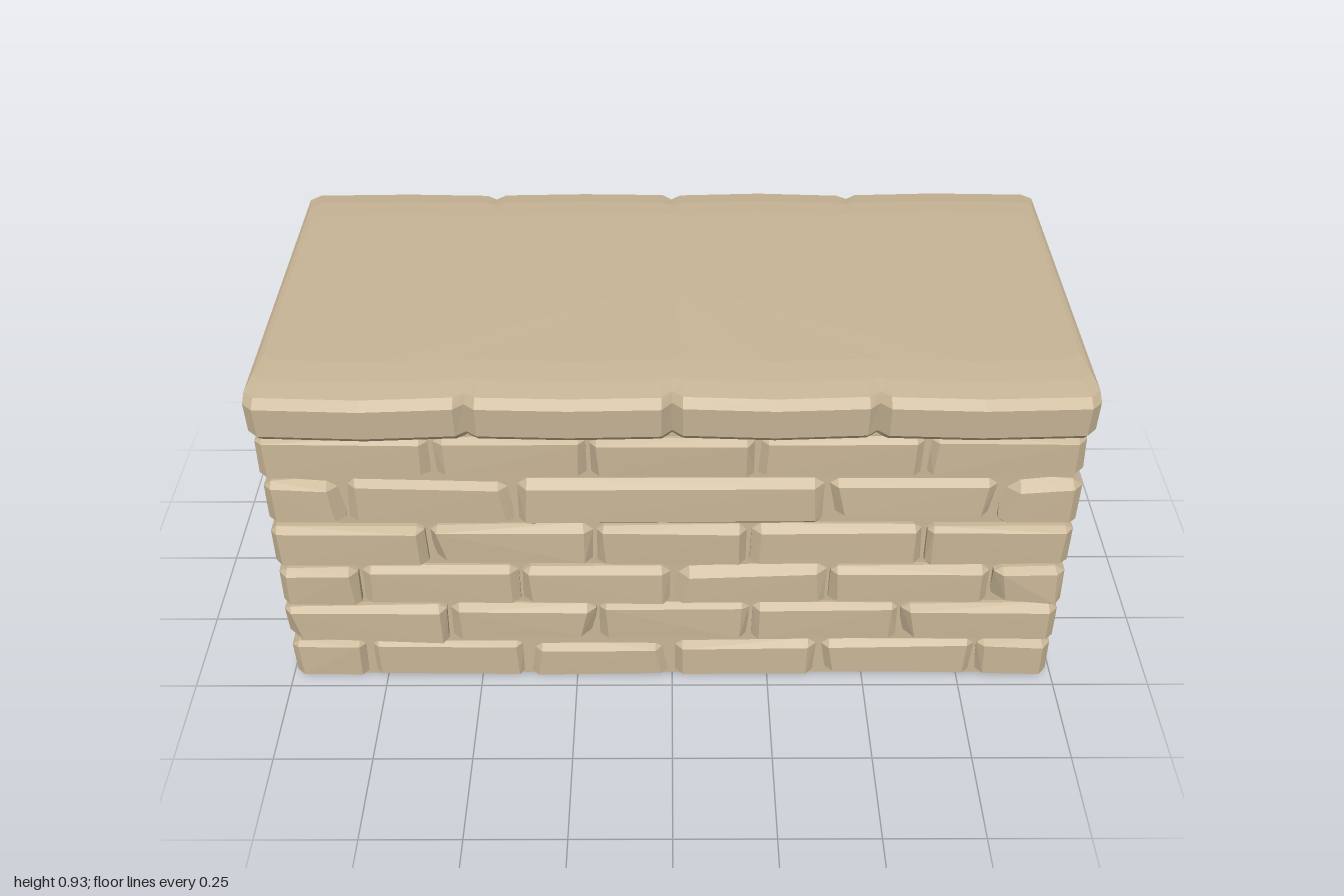
import * as THREE from 'three';
import { ConvexGeometry } from 'three/addons/geometries/ConvexGeometry.js';

const stone = new THREE.MeshStandardMaterial({ color: 0xc8b596 });
stone.name = 'sandstone';

// Small seeded random: rnd(a) lies in -a..a
let seed = 7;
const rnd = (a) => {
  seed = (seed * 16807) % 2147483647;
  return (seed / 2147483647 * 2 - 1) * a;
};

function add(group, geometry, name) {
  const mesh = new THREE.Mesh(geometry, stone);
  mesh.name = name;
  group.add(mesh);
}

// Rough-hewn brick: a box with chamfered, slightly uneven corners
function brick(group, name, x0, x1, y0, y1, z0, z1) {
  const lo = [x0, y0, z0], hi = [x1, y1, z1], points = [];
  for (let corner = 0; corner < 8; corner++) {
    const c = 0.016 + (rnd(1) > 0.75 ? 0.022 : 0.004) + rnd(0.004);
    for (let face = 0; face < 3; face++) {
      const p = [0, 1, 2].map((a) => {
        const inset = a === face ? 0 : c * (a === 1 ? 0.7 : 1);
        return ((corner >> a) & 1 ? hi[a] - inset : lo[a] + inset) + rnd(0.0025);
      });
      points.push(new THREE.Vector3(p[0], Math.max(0, p[1]), p[2]));
    }
  }
  add(group, new ConvexGeometry(points), name);
}

// Chipped stone on the +x end, from a convex outline of [z, y] corners
function chippedStone(group, outline, xOut) {
  const cz = outline.reduce((s, p) => s + p[0], 0) / outline.length;
  const cy = outline.reduce((s, p) => s + p[1], 0) / outline.length;
  const points = [];
  for (const [z, y] of outline) {
    points.push(new THREE.Vector3(0.9, y, z), new THREE.Vector3(xOut - 0.012, y, z));
    points.push(new THREE.Vector3(xOut, y + (cy - y) * 0.1, z + (cz - z) * 0.06));
  }
  add(group, new ConvexGeometry(points), 'chippedStone');
}

// Horizontal slab with notched ends and two openings underneath
function footSlab(group, name, y0, y1, radius, sides) {
  const X = 0.965, Z = 0.455, N = 0.86;
  const end = [[X, -Z], [X, -0.3], [N, -0.27], [N, -0.15], [X, -0.12],
    [X, 0.12], [N, 0.15], [N, 0.27], [X, 0.3], [X, Z]];
  const outline = [...end, ...end.map(([x, z]) => [-x, -z])];
  const shape = new THREE.Shape(outline.map(([x, z]) => new THREE.Vector2(x, z)));
  for (const cx of [-0.54, 0.54]) {
    const hole = [];
    for (let i = 0; i < sides; i++) {
      const a = (i + 0.5) / sides * Math.PI * 2;
      hole.push(new THREE.Vector2(cx + Math.cos(a) * radius, Math.sin(a) * radius));
    }
    shape.holes.push(new THREE.Path(hole));
  }
  const g = new THREE.ExtrudeGeometry(shape, { depth: y1 - y0, bevelEnabled: false });
  g.rotateX(Math.PI / 2).translate(0, y1, 0);
  add(group, g, name);
}

// Coping slab: notched outline lofted through softly rounded levels
function coping(group) {
  const edge = [[-0.99, 0, 0.025], [-0.965, 0, 0]];
  for (const j of [-0.48, 0, 0.48]) {
    edge.push([j - 0.24, 0, -0.006], [j - 0.025, 0, 0.003], [j, 1, 0], [j + 0.025, 0, 0.003]);
  }
  edge.push([0.72, 0, -0.005], [0.965, 0, 0], [0.99, 0, 0.025]);
  const ring = [...edge.map((p) => [...p, 1]), ...edge.map(([x, n, d]) => [-x, n, d, -1])]
    .map(([x, n, d, s]) => [x, n, d + rnd(0.003), s]);
  // height, inset in z, joint depth
  const levels = [[0.797, 0.02, 0.022], [0.815, 0.004, 0.024], [0.895, 0, 0.026],
    [0.917, 0.018, 0.024], [0.926, 0.075, 0.012], [0.931, 0.15, 0]];
  const n = ring.length, pos = [], idx = [];
  for (const [y, inset, joint] of levels) {
    for (const [x, notch, d, s] of ring) {
      pos.push(x * (1.003 - inset * 0.18), y, s * (0.49 - inset - d - notch * joint));
    }
  }
  const bottom = pos.length / 3, top = bottom + 1, last = (levels.length - 1) * n;
  pos.push(0, levels[0][0], 0, 0, 0.932, 0);
  for (let i = 0; i < n; i++) {
    const j = (i + 1) % n;
    for (let k = 0; k < last; k += n) {
      idx.push(k + i, k + j, k + n + j, k + i, k + n + j, k + n + i);
    }
    idx.push(bottom, j, i, top, last + i, last + j);
  }
  const g = new THREE.BufferGeometry();
  g.setAttribute('position', new THREE.Float32BufferAttribute(pos, 3));
  g.setIndex(idx);
  const flat = g.toNonIndexed();
  flat.computeVertexNormals();
  add(group, flat, 'copingSlab');
}

// Courses: bottom, top, long-side joints, end joint, outer z
const courses = [
  [0, 0.13, [-0.79, -0.38, 0, 0.38, 0.79], 0.3, 0.475],
  [0.13, 0.265, [-0.57, -0.19, 0.2, 0.58], 0.11, 0.482],
  [0.265, 0.395, [-0.78, -0.38, 0, 0.39, 0.8], 0.3, 0.486],
  [0.395, 0.53, [-0.6, -0.19, 0.19, 0.62], 0.12, 0.482],
  [0.53, 0.67, [-0.79, -0.38, 0.37, 0.79], 0.3, 0.48],
  [0.67, 0.798, [-0.57, -0.2, 0.2, 0.6], 0.13, 0.474],
];

export function createModel() {
  const model = new THREE.Group();
  model.name = 'stoneBlockWall';

  // Mortar core above the hollow foot
  const core = new THREE.BoxGeometry(1.93, 0.73, 0.91);
  core.translate(0, 0.435, 0);
  add(model, core, 'mortarCore');
  footSlab(model, 'footOpenings', 0.003, 0.03, 0.29, 8);
  footSlab(model, 'roundRecesses', 0.03, 0.07, 0.21, 32);

  courses.forEach(([y0, y1, joints, endJoint, outZ], row) => {
    const course = new THREE.Group();
    course.name = 'brickCourse' + (row + 1);
    model.add(course);
    const a = y0 + (row ? 0.004 : 0), b = y1 - 0.004, g = 0.005;
    const count = joints.length;

    for (const s of [1, -1]) {
      // Long side: middle bricks
      for (let i = 0; i < count - 1; i++) {
        const z = outZ + rnd(0.006);
        brick(course, 'faceBrick', joints[i] + g, joints[i + 1] - g, a, b,
          s > 0 ? 0.36 : -z, s > 0 ? z : -0.36);
      }
      // Corner bricks wrap onto both ends
      for (const e of [1, -1]) {
        const chipped = row === 5 && e === 1 && s === -1;
        const xIn = e > 0 ? joints[count - 1] + g : -joints[0] + g;
        const zIn = chipped ? 0.44 : endJoint + g;
        const x = 0.985 + rnd(0.004), z = outZ + rnd(0.005);
        brick(course, 'cornerBrick', e > 0 ? xIn : -x, e > 0 ? x : -xIn, a, b,
          s > 0 ? zIn : -z, s > 0 ? z : -zIn);
      }
    }

    // Ends: middle bricks
    for (const e of [1, -1]) {
      const endBrick = (z0, z1, low) => {
        const x = 0.984 + rnd(0.004);
        brick(course, 'endBrick', e > 0 ? 0.87 : -x, e > 0 ? x : -0.87, low, b, z0, z1);
      };
      if (row === 0) {
        // Raised bricks leave two notches at the foot
        endBrick(-0.125, 0.125, a);
        endBrick(0.11, 0.295, 0.065);
        endBrick(-0.295, -0.11, 0.065);
      } else if (row === 5 && e === 1) {
        // Cracked stones split by a V-shaped groove
        chippedStone(course, [[0.1, 0.8], [-0.13, 0.697], [-0.42, 0.8]], 0.988);
        chippedStone(course, [[0.125, 0.785], [0.125, 0.674], [-0.128, 0.674], [-0.128, 0.68]], 0.984);
        chippedStone(course, [[-0.135, 0.68], [-0.135, 0.674], [-0.44, 0.674], [-0.44, 0.787]], 0.984);
      } else {
        endBrick(-endJoint + g, endJoint - g, a);
      }
    }
  });

  coping(model);
  return model;
}
